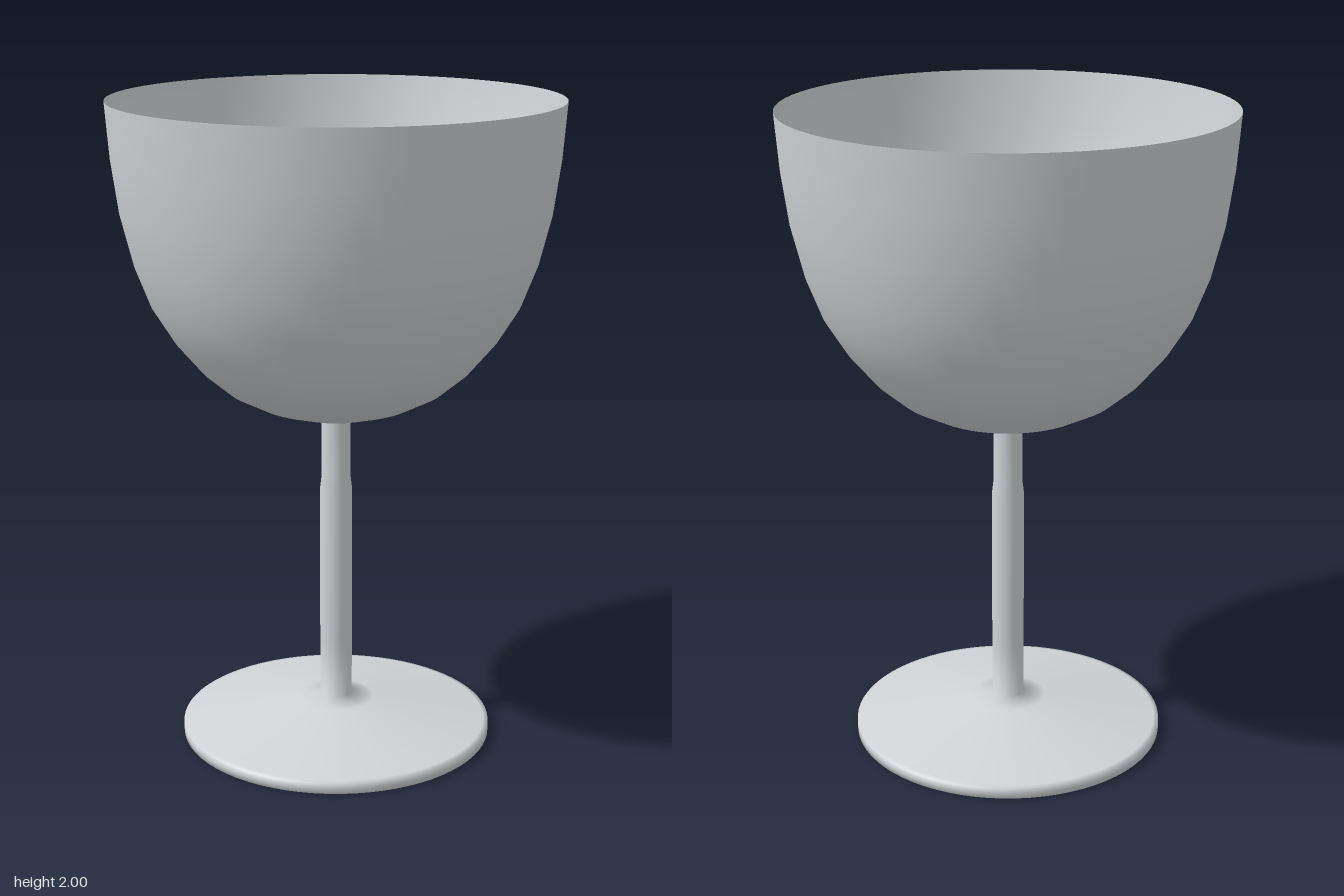
import * as THREE from 'three';

const SEGMENTS = 72;

// Revolve a list of [radius, height] points into a named mesh
function turned(name, points, material) {
  const profile = points.map(([r, y]) => new THREE.Vector2(r, y));
  const mesh = new THREE.Mesh(new THREE.LatheGeometry(profile, SEGMENTS), material);
  mesh.name = name;
  return mesh;
}

export function createModel() {
  const group = new THREE.Group();
  group.name = 'goblet';
  const silver = new THREE.MeshStandardMaterial({ color: 0xd0d4d6 });
  silver.name = 'pale silver';

  // Round foot and slim stem, softly blended where they meet
  group.add(turned('footAndStem', [
    [0, 0], [0.47, 0], [0.485, 0.005], [0.485, 0.02], [0.485, 0.038],
    [0.47, 0.041], [0.12, 0.107], [0.05, 0.122], [0.05, 0.3], [0.05, 0.8],
    [0.045, 0.84], [0.045, 1.05],
  ], silver));

  // Outer wall of the bowl, from the stem up to the rim
  const outerCurve = [
    [0.14, 1.05], [0.243, 1.083], [0.333, 1.13], [0.41, 1.195],
    [0.49, 1.29], [0.555, 1.395], [0.603, 1.52], [0.64, 1.67],
    [0.662, 1.83], [0.675, 2],
  ];
  group.add(turned('bowlOuter', [[0.045, 1.03], [0.045, 1.045], [0.1, 1.045], ...outerCurve], silver));

  // Inner wall, tapering away from the knife-edge rim
  group.add(turned('bowlInner', [
    [0.675, 2], [0.653, 1.84], [0.622, 1.7], [0.585, 1.55],
    [0.53, 1.41], [0.46, 1.3], [0.37, 1.2], [0.25, 1.12], [0, 1.08],
  ], silver));

  // Drink filling the bowl, with a flat top
  group.add(turned('liquid', [
    [0, 1.1], [0.24, 1.14], [0.36, 1.22], [0.45, 1.32],
    [0.52, 1.43], [0.575, 1.56], [0.622, 1.71], [0, 1.71],
  ], silver));

  return group;
}
